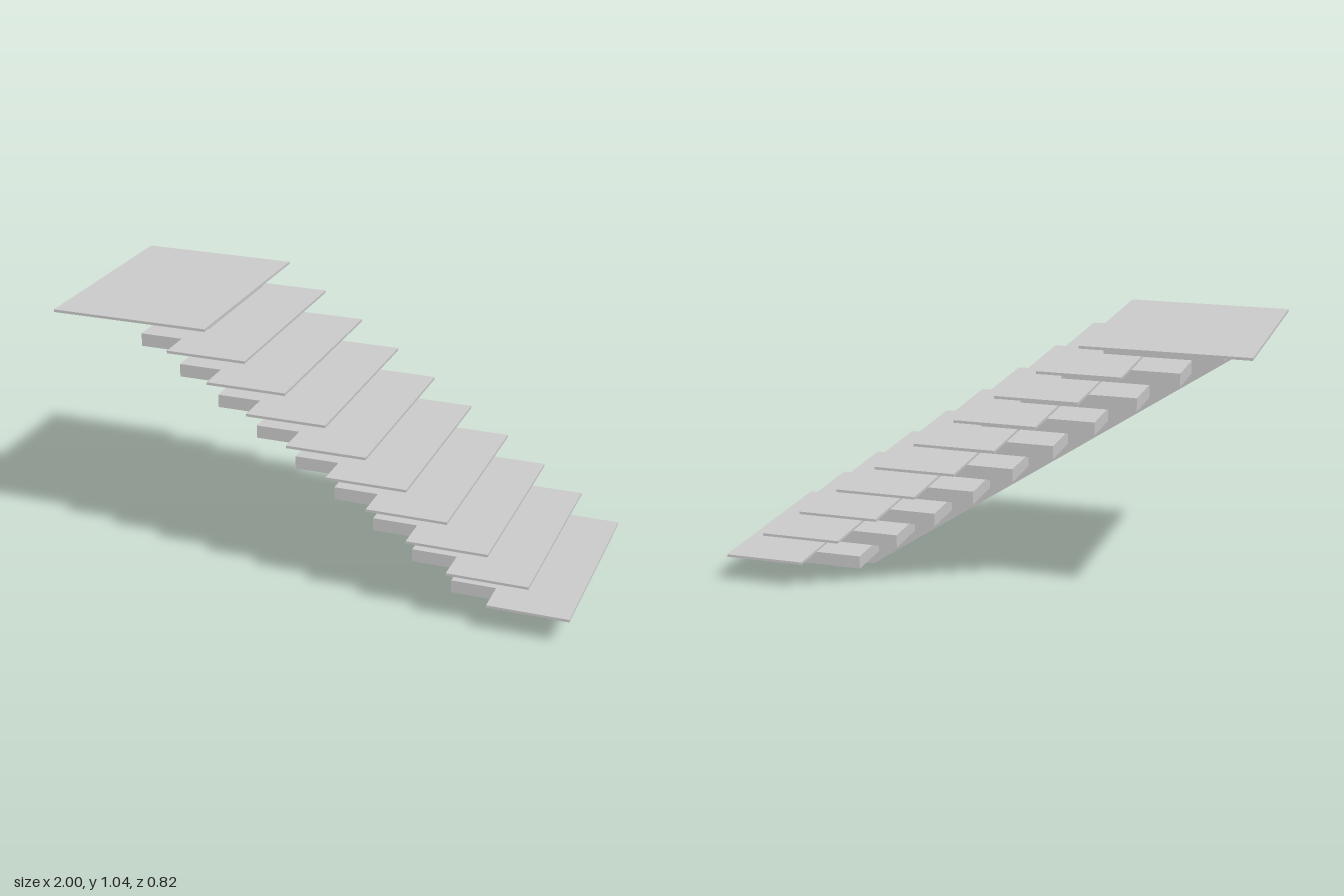
import * as THREE from 'three';

const STEPS = 10, RUN = 0.1544, RISE = 0.1025;
const TREAD = 0.01, BLOCK = 0.05;

export function createModel() {
  const group = new THREE.Group();
  const material = new THREE.MeshStandardMaterial({ color: 0xcccccc, flatShading: true });

  const addMesh = (name, geometry) => {
    const mesh = new THREE.Mesh(geometry, material);
    mesh.name = name;
    group.add(mesh);
    return mesh;
  };

  // Box given by its x range, y range and full depth
  const addBox = (name, x0, x1, y0, y1, depth) =>
    addMesh(name, new THREE.BoxGeometry(x1 - x0, y1 - y0, depth))
      .position.set((x0 + x1) / 2, (y0 + y1) / 2, 0);

  // Central sloping beam, cut level at both ends
  const beam = new THREE.Shape([
    new THREE.Vector2(0.537, 0),
    new THREE.Vector2(0.842, 0),
    new THREE.Vector2(-0.695, 1.027),
    new THREE.Vector2(-1, 1.027),
  ]);
  addMesh('centralBeam', new THREE.ExtrudeGeometry(beam, { depth: 0.102, bevelEnabled: false }))
    .position.z = -0.051;

  // Treads on support blocks; the top one is a double-length landing
  for (let i = 0; i < STEPS; i++) {
    const top = i === STEPS - 1;
    const nose = 1 - i * RUN;
    const y = 0.104 + i * RISE;
    addBox(top ? 'landing' : 'tread', top ? -1 : nose - 0.308, nose, y, y + TREAD, 0.82);
    addBox('supportBlock', nose - 0.486, nose - 0.052, y - BLOCK, y, 0.514);
  }
  return group;
}
